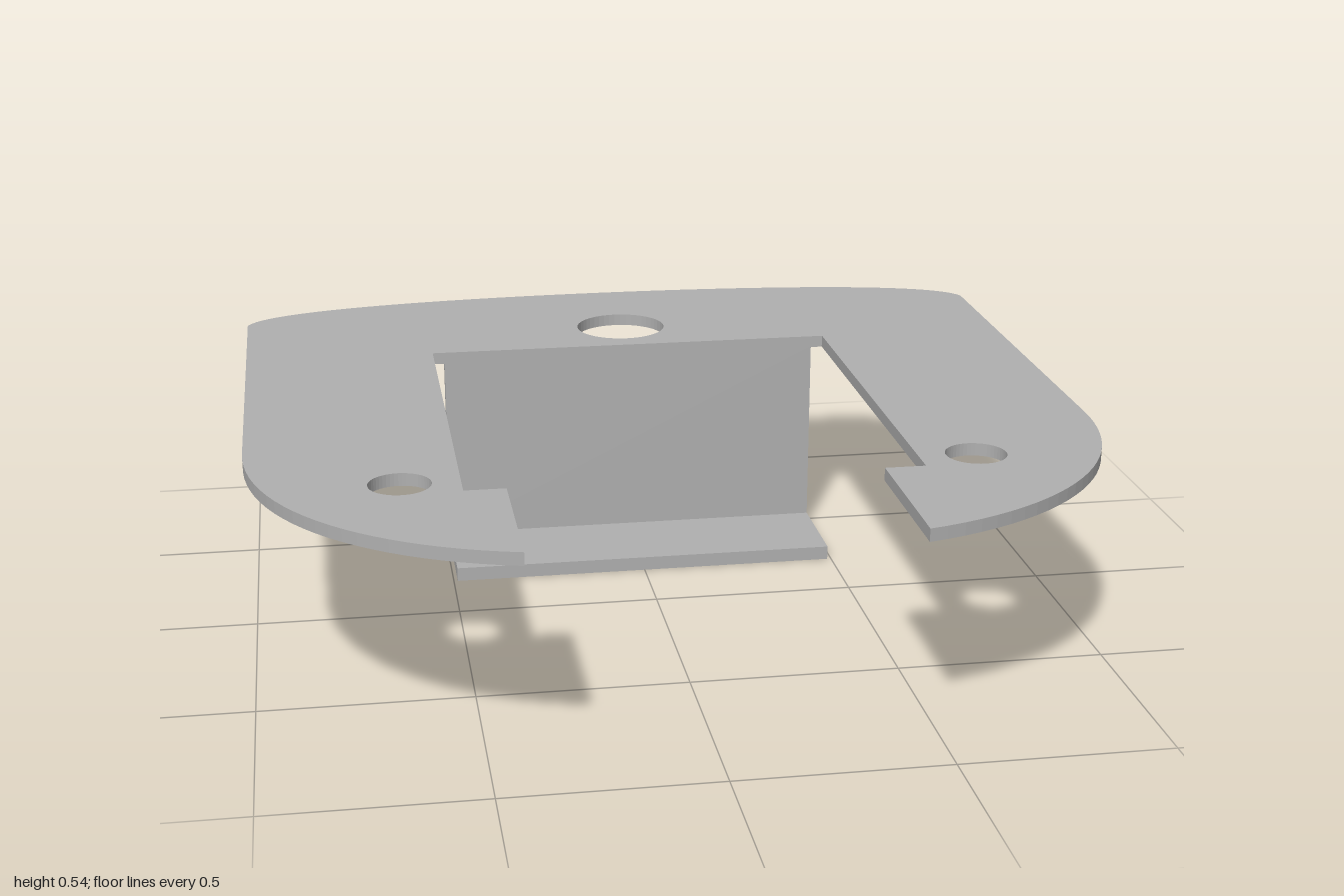
import * as THREE from 'three';

const grey = new THREE.MeshStandardMaterial({ color: 0xb0b0b0 });
grey.name = 'grey';

function part(name, geometry, parent) {
  const mesh = new THREE.Mesh(geometry, grey);
  mesh.name = name;
  parent.add(mesh);
  return mesh;
}

function addHole(shape, x, z, r) {
  const hole = new THREE.Path();
  hole.absarc(x, z, r, 0, Math.PI * 2, true);
  shape.holes.push(hole);
}

// Flat U-shaped plate, drawn in x and z, with its top at y = 0.54
function plateGeometry() {
  const s = new THREE.Shape();
  s.moveTo(0, -0.98);
  s.bezierCurveTo(0.45, -0.98, 0.95, -0.93, 1, -0.79);
  s.lineTo(1, 0.27);
  s.bezierCurveTo(1, 0.62, 0.77, 0.89, 0.425, 0.97);
  // Inner opening with a step at each tip
  for (const [x, z] of [[0.425, 0.59], [0.52, 0.59], [0.52, -0.455],
    [-0.52, -0.455], [-0.52, 0.59], [-0.425, 0.59], [-0.425, 0.97]]) s.lineTo(x, z);
  s.bezierCurveTo(-0.77, 0.89, -1, 0.62, -1, 0.27);
  s.lineTo(-1, -0.79);
  s.bezierCurveTo(-0.95, -0.93, -0.45, -0.98, 0, -0.98);

  addHole(s, 0, -0.63, 0.117);
  for (const side of [-1, 1]) addHole(s, side * 0.655, 0.527, 0.071);

  const g = new THREE.ExtrudeGeometry(s, { depth: 0.03, bevelEnabled: false, curveSegments: 24 });
  return g.rotateX(Math.PI / 2).translate(0, 0.54, 0);
}

// L-shaped bracket: profile in z and y, extruded across x
function bracketGeometry() {
  const s = new THREE.Shape();
  // Shape x stands for -z
  [[0.2, 0], [0.48, 0], [0.48, 0.512], [0.455, 0.512], [0.455, 0.035], [0.2, 0.035]]
    .forEach(([d, y], i) => (i ? s.lineTo(d, y) : s.moveTo(d, y)));
  const g = new THREE.ExtrudeGeometry(s, { depth: 0.98, bevelEnabled: false });
  return g.translate(0, 0, -0.49).rotateY(Math.PI / 2);
}

export function createModel() {
  const model = new THREE.Group();
  model.name = 'mountingPlate';
  part('plate', plateGeometry(), model);
  part('bracket', bracketGeometry(), model);
  return model;
}
